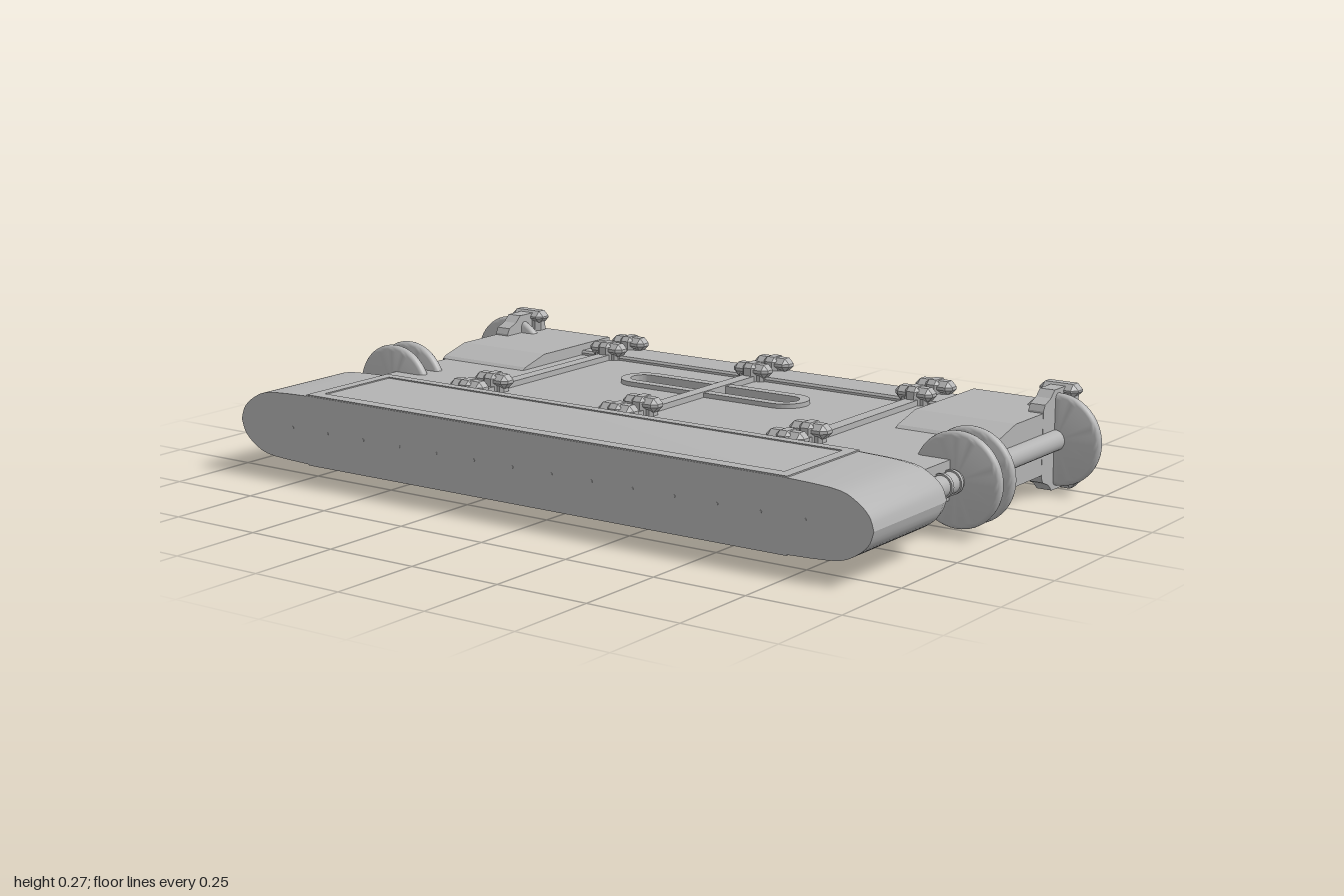
import * as THREE from 'three';
import { toCreasedNormals } from 'three/addons/utils/BufferGeometryUtils.js';
import { ConvexGeometry } from 'three/addons/geometries/ConvexGeometry.js';

const MID = 0.137; // height of the horizontal mirror plane
const grey = new THREE.MeshStandardMaterial({ color: 0xb3b3b3 });
grey.name = 'plain grey';

function add(parent, name, geometry, x = 0, y = 0, z = 0) {
  const m = new THREE.Mesh(geometry, grey);
  m.name = name;
  m.position.set(x, y, z);
  parent.add(m);
  return m;
}

// Box with all twelve edges cut at an angle
function chamferBox(w, h, d, c) {
  const p = [];
  for (const i of [-1, 1]) for (const j of [-1, 1]) for (const k of [-1, 1]) {
    p.push(new THREE.Vector3(i * w / 2, j * (h / 2 - c), k * (d / 2 - c)));
    p.push(new THREE.Vector3(i * (w / 2 - c), j * h / 2, k * (d / 2 - c)));
    p.push(new THREE.Vector3(i * (w / 2 - c), j * (h / 2 - c), k * d / 2));
  }
  return new ConvexGeometry(p);
}

// Horizontal slab cut from a shape whose y is the model's z; it hangs down from y = 0
function slab(shape, depth) {
  const g = new THREE.ExtrudeGeometry(shape, { depth, bevelEnabled: false, curveSegments: 16 });
  return toCreasedNormals(g.rotateX(Math.PI / 2), 0.6);
}

function trace(target, x0, z0, x1, z1) {
  target.moveTo(x0, z0);
  target.lineTo(x1, z0);
  target.lineTo(x1, z1);
  target.lineTo(x0, z1);
  target.closePath();
  return target;
}

function stadium(target, cx, cz, halfLength, r) {
  const s = halfLength - r;
  target.moveTo(cx - s, cz - r);
  target.lineTo(cx + s, cz - r);
  target.absarc(cx + s, cz, r, -Math.PI / 2, Math.PI / 2, false);
  target.lineTo(cx - s, cz + r);
  target.absarc(cx - s, cz, r, Math.PI / 2, Math.PI * 1.5, false);
  return target;
}

// Side profile of (z, half height) points, mirrored top to bottom, extruded along x
function sidePlate(profile, width) {
  const pts = [...profile.map(([z, h]) => [z, h]), ...profile.slice().reverse().map(([z, h]) => [z, -h])];
  const shape = new THREE.Shape(pts.map(([z, y]) => new THREE.Vector2(-z, y)));
  const g = new THREE.ExtrudeGeometry(shape, { depth: width, bevelEnabled: false });
  return g.translate(0, 0, -width / 2).rotateY(Math.PI / 2);
}

// Front bumper: long rounded block, drawn in towards the back
function bumper(parent) {
  const end = new THREE.SplineCurve([[0.72, 0.09], [0.86, 0.083], [0.915, 0.062], [0.948, 0.033], [0.96, 0]]
    .map(([x, y]) => new THREE.Vector2(x, y))).getPoints(14);
  const pts = [];
  for (const [z, sx, sy] of [[0.557, 1, 1], [0.25, 1, 1], [0.222, 0.992, 0.92], [0.198, 0.972, 0.81]])
    for (const p of end) for (const i of [-1, 1]) for (const j of [-1, 1])
      pts.push(new THREE.Vector3(i * p.x * sx, MID + j * p.y * sy, z));
  add(parent, 'bumper', toCreasedNormals(new ConvexGeometry(pts), 0.45));

  // Low rims around the top and bottom panels
  const rim = trace(new THREE.Shape(), -0.73, 0.245, 0.73, 0.555);
  rim.holes.push(trace(new THREE.Path(), -0.7, 0.272, 0.7, 0.52));
  for (const y of [MID + 0.093, MID - 0.086]) add(parent, 'bumperRim', slab(rim, 0.007), 0, y, 0);

  // Row of small studs along the front face
  const stud = new THREE.CylinderGeometry(0.004, 0.004, 0.003, 8).rotateX(Math.PI / 2);
  for (let i = 0; i < 14; i++) add(parent, 'bumperStud', stud, -0.78 + i * 0.12, MID, 0.557);
}

// Deck with a long slot and its raised lip, plus the beam along the rear edge
function deck(parent) {
  const plate = trace(new THREE.Shape(), -0.865, -0.53, 0.865, 0.21);
  plate.holes.push(stadium(new THREE.Path(), -0.01, -0.23, 0.28, 0.05));
  add(parent, 'deck', slab(plate, 0.1), 0, MID + 0.05, 0);

  const lip = stadium(new THREE.Shape(), -0.01, -0.23, 0.288, 0.065);
  lip.holes.push(stadium(new THREE.Path(), -0.01, -0.23, 0.262, 0.036));
  add(parent, 'slotLip', slab(lip, 0.124), 0, MID + 0.062, 0);

  const beam = sidePlate([[-0.552, 0.045], [-0.535, 0.062], [-0.425, 0.062], [-0.42, 0.056]], 1.22);
  add(parent, 'rearBeam', beam, 0, MID, 0);
}

// Strap: rods above and below the deck, held by four clamps
function strap(parent, x) {
  const g = new THREE.Group();
  g.name = 'strap';
  g.position.set(x, MID, 0);
  parent.add(g);
  const rod = new THREE.BoxGeometry(0.036, 0.026, 0.63);
  for (const s of [-1, 1]) add(g, 'strapRod', rod, 0, s * 0.052, -0.13);
  const knob = chamferBox(0.11, 0.036, 0.05, 0.014);
  const band = chamferBox(0.046, 0.196, 0.06, 0.012);
  const ear = chamferBox(0.08, 0.15, 0.036, 0.008);
  for (const z of [-0.528, -0.425, 0.08, 0.183]) {
    add(g, 'clampBand', band, 0, 0, z);
    add(g, 'clampEar', ear, 0, 0, z);
    for (const s of [-1, 1]) add(g, 'clampKnob', knob, 0, s * 0.078, z);
  }
}

// Wheel-like disc with a rounded edge, facing along z
function discGeometry() {
  const r = 0.12, t = 0.015;
  const pts = [new THREE.Vector2(0, -t)];
  for (let i = 0; i <= 8; i++) {
    const a = -Math.PI / 2 + Math.PI * i / 8;
    pts.push(new THREE.Vector2(r - t + t * Math.cos(a), t * Math.sin(a)));
  }
  pts.push(new THREE.Vector2(0, t));
  return toCreasedNormals(new THREE.LatheGeometry(pts, 48).rotateX(Math.PI / 2), 0.6);
}

// Everything repeated on the two sides
function sideAssembly(parent, s) {
  const g = new THREE.Group();
  g.name = s > 0 ? 'leftSide' : 'rightSide';
  g.position.y = MID;
  parent.add(g);

  const axle = new THREE.CylinderGeometry(0.027, 0.027, 0.72, 24).rotateX(Math.PI / 2);
  add(g, 'axle', axle, s * 0.878, 0, -0.15);
  const collar = new THREE.CylinderGeometry(0.031, 0.031, 0.01, 24).rotateX(Math.PI / 2);
  for (const z of [0.115, 0.07, 0.005, -0.092]) add(g, 'axleCollar', collar, s * 0.878, 0, z);
  const hub = new THREE.ConeGeometry(0.03, 0.03, 24).rotateX(-Math.PI / 2);
  add(g, 'axleTip', hub, s * 0.878, 0, -0.525);

  const disc = discGeometry();
  for (const z of [0.04, -0.022, -0.47]) add(g, 'disc', disc, s * 0.88, 0, z);

  // Sloped housing over the rear corner
  const housing = sidePlate([[-0.155, 0.05], [-0.165, 0.057], [-0.25, 0.08], [-0.55, 0.08]], 0.285);
  add(g, 'housing', housing, s * 0.733, 0, 0);

  // Corner clamp with stepped band and outer bars
  const band = sidePlate([[-0.392, 0.085], [-0.4, 0.1], [-0.43, 0.112], [-0.45, 0.13],
    [-0.538, 0.13], [-0.555, 0.112]], 0.042);
  add(g, 'cornerBand', band, s * 0.855, 0, 0);
  add(g, 'cornerBar', chamferBox(0.09, 0.24, 0.044, 0.012), s * 0.855, 0, -0.525);
  for (const j of [-1, 1])
    add(g, 'cornerKnob', chamferBox(0.11, 0.035, 0.055, 0.015), s * 0.855, j * 0.118, -0.525);
}

export function createModel() {
  const model = new THREE.Group();
  model.name = 'hoverPlatform';
  bumper(model);
  deck(model);
  for (const x of [-0.5, -0.015, 0.49]) strap(model, x);
  for (const s of [-1, 1]) sideAssembly(model, s);
  return model;
}
